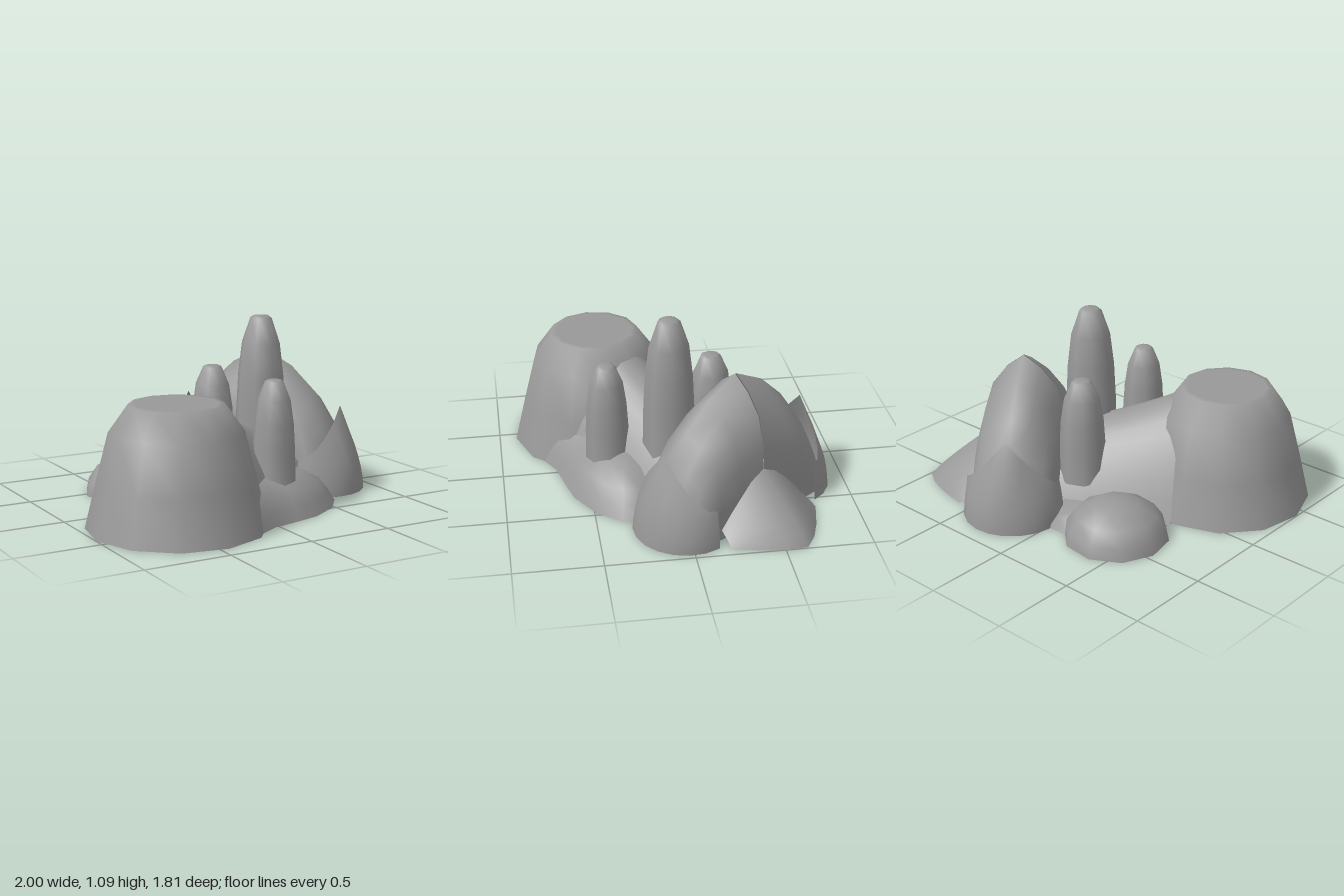
import * as THREE from 'three';
import { toCreasedNormals } from 'three/addons/utils/BufferGeometryUtils.js';

const material = new THREE.MeshStandardMaterial({ color: 0x999999, side: THREE.DoubleSide });
const ARCH = { x: 0.48, z: -0.3, angle: 0.57 };

function mesh(name, geometry, x = 0, z = 0, angle = 0) {
  const m = new THREE.Mesh(geometry, material);
  m.name = name;
  m.position.set(x, 0, z);
  m.rotation.y = angle;
  return m;
}

// Surface through rows x columns of points given by a rule
function grid(rows, cols, rule) {
  const pos = [], index = [];
  for (let i = 0; i <= rows; i++)
    for (let j = 0; j <= cols; j++) pos.push(...rule(i / rows, j / cols, i, j));
  for (let i = 0; i < rows; i++)
    for (let j = 0; j < cols; j++) {
      const a = i * (cols + 1) + j, b = a + cols + 1;
      index.push(a, b, a + 1, b, b + 1, a + 1);
    }
  const g = new THREE.BufferGeometry();
  g.setAttribute('position', new THREE.Float32BufferAttribute(pos, 3));
  g.setIndex(index);
  g.computeVertexNormals();
  return g;
}

// Revolved rock from [radius, height] pairs
function lathe(profile, sides, crease) {
  const g = new THREE.LatheGeometry(profile.map(([r, y]) => new THREE.Vector2(r, y)), sides);
  return toCreasedNormals(g, crease);
}

// Sloping bank from an outline on the ground up to one point; rings are [scale, height]
function bank(outline, rings) {
  return grid(rings.length - 1, outline.length - 1, (u, v, i, j) => {
    const [x, z] = outline[j], [s, y] = rings[i];
    return [x * s, y, z * s];
  });
}

// Half shell bulging towards local +z; plan shapes its foot, rim its upper edge
function halfShell({ width, depth, height, side, rimDepth, bulge, plan, rim }) {
  return grid(6, 10, (v, u) => {
    const c = Math.cos(u * Math.PI), k = Math.abs(c);
    const top = side + (height - side) * rim(k);
    const bend = Math.pow(v, bulge);
    return [width * c * (1 - 0.08 * bend), v * top, plan(k) * (depth + (rimDepth - depth) * bend)];
  });
}

// One half of the arched body: gothic cross-sections shrinking to the ground
function archHalf() {
  const section = [[-1, 0], [-1, 0.3], [-0.98, 0.55], [-0.8, 0.77], [-0.42, 0.91], [0, 1],
    [0.42, 0.91], [0.8, 0.77], [0.98, 0.55], [1, 0.3], [1, 0]];
  const stations = [[0.003, 0.84, 0.24], [0.2, 0.74, 0.245], [0.36, 0.59, 0.24],
    [0.46, 0.43, 0.235], [0.53, 0.25, 0.23], [0.57, 0, 0.225]];
  return grid(stations.length - 1, section.length - 1, (u, v, i, j) => {
    const [z, h, w] = stations[i], [sx, sy] = section[j];
    return [sx * w, sy * h, z * (1 - 0.13 * sx * sx)];
  });
}

export function createModel() {
  const model = new THREE.Group();
  model.name = 'rockFormation';

  // Broad flat-topped stump
  const stump = lathe([[0.51, 0], [0.445, 0.27], [0.375, 0.54], [0.265, 0.695], [0.235, 0.695],
    [0, 0.695]], 12, 1.3);
  model.add(mesh('flatToppedStump', stump, -0.49, 0.39, 0.08));

  // Saddle-shaped bridge from the stump to the arch (local z runs along it)
  const saddle = grid(8, 16, (t, u) => {
    const c = 2 * u - 1;
    const w = 0.46 - 0.06 * t;
    const h = 0.65 - 0.36 * t + 0.1 * t * t;
    return [-c * w, h * (1 - c * c), t * 0.72];
  });
  model.add(mesh('saddleBridge', saddle, -0.29, 0.25, Math.PI * 2 / 3));

  // Low apron under the spires
  const apron = [[-0.45, 0.54], [-0.18, 0.39], [0, 0.35], [0.15, 0.31], [0.33, 0.2], [0.44, 0.06],
    [0.45, -0.06], [0.4, -0.15]];
  const apronRings = [[1, 0], [0.9, 0.07], [0.76, 0.15], [0.5, 0.21], [0.25, 0.24], [0, 0.25]];
  model.add(mesh('frontApron', bank(apron, apronRings), 0.15, 0.29));

  // Thin skirt behind the bridge
  const skirt = [[0.34, 0], [0.2, -0.22], [0.06, -0.21], [-0.25, -0.1], [-0.4, 0.15]];
  model.add(mesh('rearSkirt', bank(skirt, [[1, 0], [0.8, 0.07], [0, 0.14]]), -0.2, -0.4));

  // Small rounded mound at the back
  const dome = lathe([[0.305, 0], [0.29, 0.07], [0.235, 0.15], [0.13, 0.21], [0, 0.235]], 10, 1.5);
  model.add(mesh('rearMound', dome, -0.35, -0.425, 0.2));

  // Tapered spires: x, z, foot height, top height, radius
  [[0.14, 0.385, 0.15, 0.77, 0.13], [0.26, 0.04, 0.2, 1.09, 0.155], [0.085, -0.23, 0.15, 0.77, 0.14]]
    .forEach(([x, z, foot, top, r]) => {
      const y = (f) => foot + (top - foot) * f;
      const spire = lathe([[r, foot], [r * 0.96, y(0.35)], [r * 0.89, y(0.6)], [r * 0.74, y(0.82)],
        [r * 0.42, y(0.985)], [r * 0.3, top], [0, top]], 8, 1.3);
      model.add(mesh('spire', spire, x, z));
    });

  // Arched body in two halves, each with a pointed shell at its foot
  const arch = new THREE.Group();
  arch.name = 'archedBody';
  arch.position.set(ARCH.x, 0, ARCH.z);
  arch.rotation.y = ARCH.angle;
  for (const turn of [0, Math.PI]) {
    const half = new THREE.Group();
    half.name = turn ? 'rearHalf' : 'frontHalf';
    half.rotation.y = turn;
    const foot = halfShell({ width: 0.295, depth: 0.29, height: 0.52, side: 0.23, rimDepth: 0.15,
      bulge: 1.7, plan: (c) => Math.sqrt(1 - c * c), rim: (c) => Math.pow(1 - c, 1.1) });
    half.add(mesh('archHalf', archHalf()), mesh('footShell', foot, 0, 0.375));
    arch.add(half);
  }
  // Side shell leaning on the outer flank of the arch
  const flank = halfShell({ width: 0.33, depth: 0.4, height: 0.36, side: 0.08, rimDepth: 0,
    bulge: 1.15, plan: (c) => 1 - 0.65 * Math.pow(c, 1.4), rim: (c) => 1 - Math.pow(c, 1.6) });
  arch.add(mesh('sideShell', flank, 0.205, 0, Math.PI / 2));
  model.add(arch);

  return model;
}
